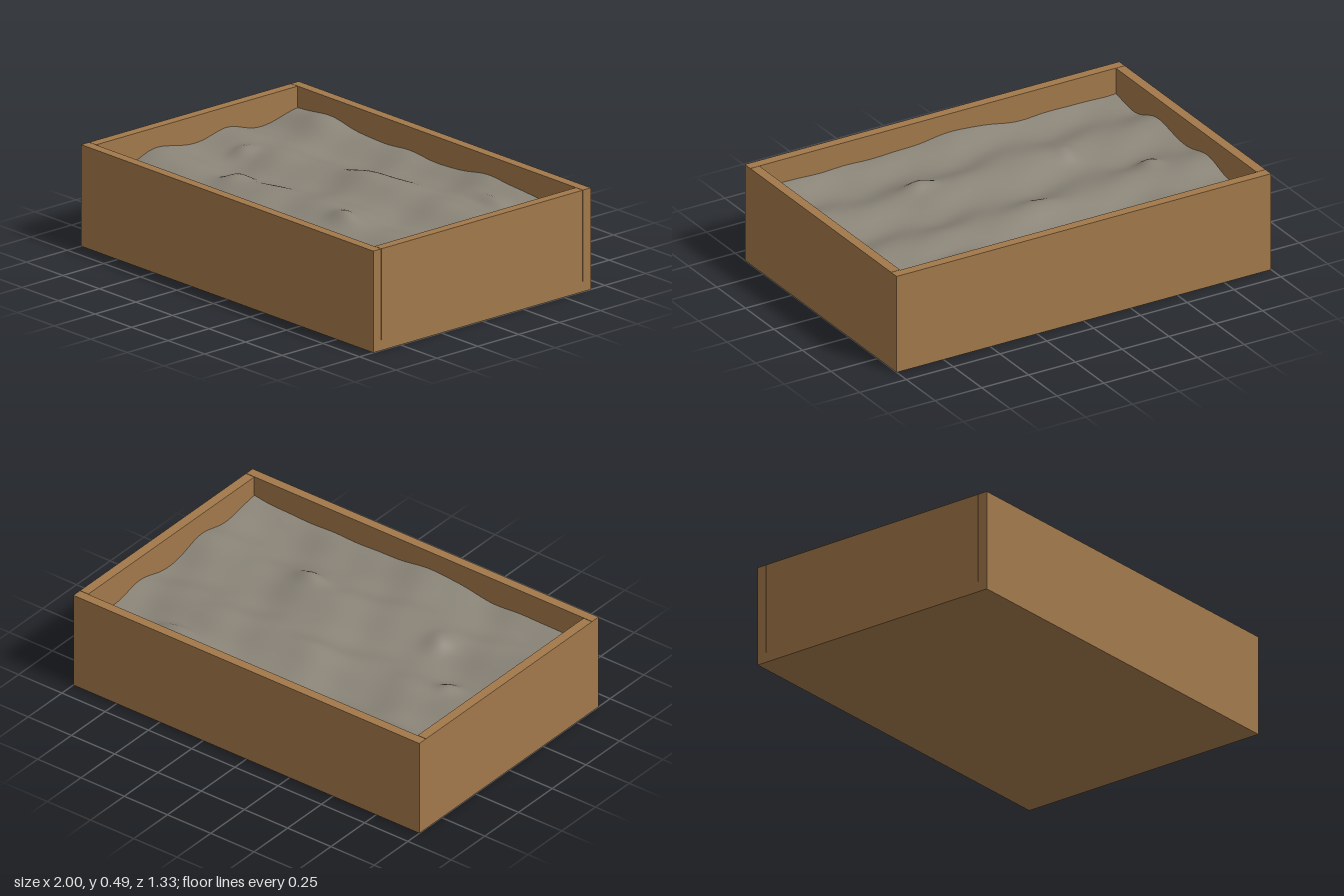
import * as THREE from 'three';

const wood = new THREE.MeshStandardMaterial({ color: 0xa1784a });
wood.name = 'wood';
const soil = new THREE.MeshStandardMaterial({ color: 0x8a8478 });
soil.name = 'soil';

const W = 2, D = 1.33, H = 0.49, T = 0.048, FLOOR = 0.05;

function board(name, w, h, d, x, y, z) {
  const mesh = new THREE.Mesh(new THREE.BoxGeometry(w, h, d), wood);
  mesh.name = name;
  mesh.position.set(x, y, z);
  return mesh;
}

// Small mounds with a steep edge: x, z, height, radius along x, radius along z
const mounds = [
  [0.58, -0.45, 0.035, 0.12, 0.05],
  [0.33, 0.24, 0.03, 0.08, 0.05],
  [-0.71, -0.07, 0.025, 0.05, 0.06],
  [-0.44, 0.2, 0.025, 0.06, 0.07],
  [-0.1, -0.22, 0.015, 0.2, 0.08],
  [-0.75, -0.55, 0.015, 0.12, 0.08],
];

// Uneven ground: rolling ridges across the box, wavy along x, plus the mounds
function groundHeight(x, z) {
  const bend = 0.5 * Math.sin(2.6 * x + 0.4) + 0.25 * Math.sin(6.1 * x + 1.3);
  let y = 0.36 + 0.019 * Math.cos(14.6 * (z + 0.2) + bend);
  y += 0.012 * Math.sin(5.3 * x + 2.2 * z + 0.8) + 0.007 * Math.sin(11 * x - 6 * z);
  y += 0.004 * Math.sin(19 * x + 9 * z + 1) * Math.cos(17 * z - 5 * x);
  for (const [mx, mz, h, rx, rz] of mounds) {
    y += h * Math.exp(-(((x - mx) / rx) ** 2) - ((z - mz) / rz) ** 2);
  }
  return y;
}

export function createModel() {
  const group = new THREE.Group();
  group.name = 'planterBox';

  // Floor panel and the four wall boards standing on it
  group.add(board('floor', W, FLOOR, D, 0, FLOOR / 2, 0));
  const wallH = H - FLOOR, wallY = FLOOR + wallH / 2;
  for (const s of [1, -1]) {
    group.add(board(s > 0 ? 'frontBoard' : 'backBoard', W, wallH, T, 0, wallY, s * (D - T) / 2));
    group.add(board(s > 0 ? 'leftBoard' : 'rightBoard', T, wallH, D - 2 * T - 0.004, s * (W - T) / 2, wallY, 0));
  }

  // Soil filling the box up to the boards
  const geometry = new THREE.PlaneGeometry(W - 2 * T, D - 2 * T, 120, 80).rotateX(-Math.PI / 2);
  const p = geometry.attributes.position;
  for (let i = 0; i < p.count; i++) p.setY(i, groundHeight(p.getX(i), p.getZ(i)));
  geometry.computeVertexNormals();
  const ground = new THREE.Mesh(geometry, soil);
  ground.name = 'soilSurface';
  group.add(ground);

  return group;
}
